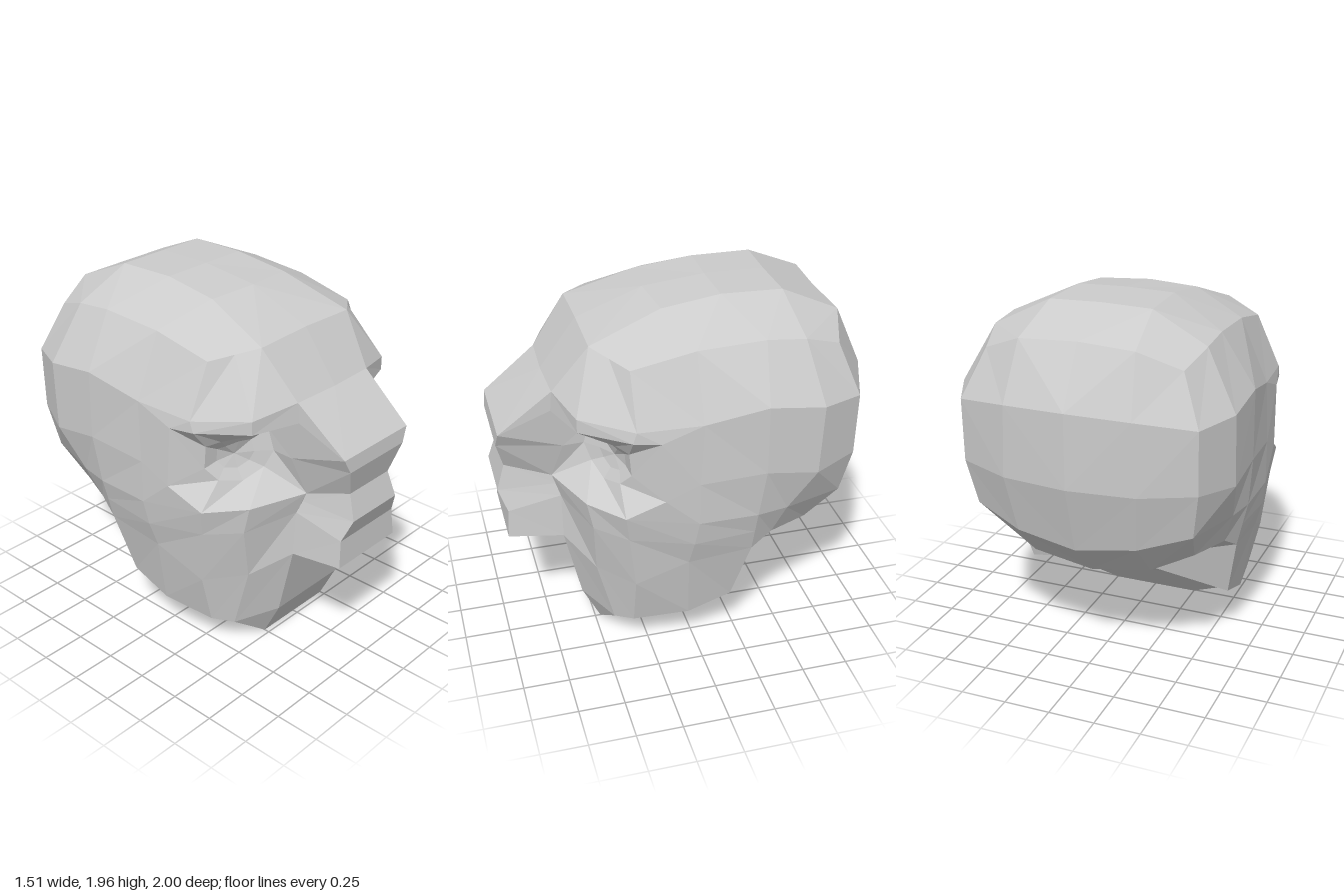
import * as THREE from 'three';

// Builds flat-shaded strips between rows of points, mirrored across x = 0.
// Rows run downwards; points run from the front centre round the +x side.
function mirroredMesh(name, ...patches) {
  const pos = [];
  const tri = (a, b, c) => {
    const n = new THREE.Vector3().subVectors(b, a).cross(new THREE.Vector3().subVectors(c, a));
    if (n.length() < 1e-6) return;
    for (const p of [a, b, c]) pos.push(p.x, p.y, p.z);
    for (const p of [a, c, b]) pos.push(-p.x, p.y, p.z);
  };
  for (const rows of patches) {
    const g = rows.map(row => row.map(p => new THREE.Vector3(...p)));
    for (let i = 0; i + 1 < g.length; i++) {
      for (let j = 0; j + 1 < g[i].length; j++) {
        tri(g[i][j], g[i + 1][j], g[i + 1][j + 1]);
        tri(g[i][j], g[i + 1][j + 1], g[i][j + 1]);
      }
    }
  }
  const geo = new THREE.BufferGeometry();
  geo.setAttribute('position', new THREE.Float32BufferAttribute(pos, 3));
  geo.computeVertexNormals();
  const mesh = new THREE.Mesh(geo, new THREE.MeshStandardMaterial({ color: 0xcccccc, flatShading: true }));
  mesh.name = name;
  return mesh;
}

export function createModel() {
  // Half rings of the skull, front centre to back centre
  const crown = [[0, 1.79, 0.5], [0.34, 1.78, 0.5], [0.45, 1.755, 0.42], [0.56, 1.73, 0.34], [0.57, 1.8, 0],
    [0.58, 1.82, -0.36], [0.58, 1.8, -0.57], [0.53, 1.73, -0.77], [0.31, 1.82, -0.84], [0, 1.83, -0.82]];
  const temple = [[0, 1.52, 0.7], [0.28, 1.52, 0.69], [0.53, 1.48, 0.61], [0.69, 1.45, 0.34], [0.72, 1.46, 0],
    [0.755, 1.53, -0.33], [0.75, 1.49, -0.63], [0.64, 1.47, -0.86], [0.34, 1.51, -0.97], [0, 1.52, -1]];
  const ear = [[0.73, 1.12, 0.02], [0.757, 1.15, -0.33], [0.755, 1.11, -0.61],
    [0.64, 1.13, -0.85], [0.36, 1.12, -0.96], [0, 1.12, -1]];
  const nape = [[0.73, 0.88, 0.02], [0.73, 0.88, -0.3], [0.7, 0.88, -0.47],
    [0.6, 0.88, -0.8], [0.33, 0.8, -0.88], [0, 0.75, -0.9]];
  const skullEdge = [[0.67, 0.63, -0.29], [0.64, 0.7, -0.41], [0.55, 0.7, -0.63], [0.33, 0.6, -0.69], [0, 0.55, -0.7]];
  const throat = [0, 0.4, -0.25];
  const skullBase = [0, 0.45, -0.46];
  const jawAngle = [0.6, 0.29, -0.2];

  // Top of the skull, back to front
  const cap = [
    [crown[9], crown[8], crown[7]],
    [[0, 1.955, -0.53], [0.28, 1.95, -0.54], crown[6]],
    [[0, 1.96, -0.2], [0.27, 1.955, -0.21], crown[5]],
    [[0, 1.925, 0.14], [0.28, 1.915, 0.11], crown[4]],
    [crown[0], crown[1], crown[3]],
  ];

  // Cheeks, mouth area, chin and jaw underside
  const face = [
    [[0, 0.97, 0.7], [0.2, 0.97, 0.7], [0.5, 0.95, 0.57], [0.68, 0.94, 0.4], nape[0], nape[1]],
    [[0, 0.85, 0.66], [0.23, 0.85, 0.66], [0.51, 0.8, 0.54], [0.655, 0.79, 0.38], [0.71, 0.74, 0.04], [0.7, 0.755, -0.295]],
    [[0, 0.6, 0.66], [0.25, 0.6, 0.66], [0.45, 0.5, 0.52], [0.62, 0.47, 0.34], [0.67, 0.6, 0.06], skullEdge[0]],
    [[0, 0.2, 0.57], [0.25, 0.2, 0.57], [0.46, 0.15, 0.43], [0.55, 0.18, 0.34], [0.6, 0.21, 0.04], jawAngle],
    [[0, 0, 0.47], [0.25, 0, 0.47], [0.25, 0, 0.47], [0.25, 0, 0.24], [0.6, 0.21, 0.04], jawAngle],
    [[0, 0, 0.47], [0, 0, 0.47], [0, 0, 0.47], [0, 0, 0.24], [0, 0.2, 0.04], throat],
  ];

  // Rim of the eye socket, clockwise from the inner brow
  const brow = [[0.28, 1.41, 0.7], [0.53, 1.405, 0.61], [0.69, 1.39, 0.36], [0.715, 1.38, 0.22]];
  const cheekbone = [0.72, 1.04, 0.2];
  const noseRoot = [0.26, 1.18, 0.64];
  const rim = [...brow, cheekbone, face[0][3], face[0][2], face[0][1], noseRoot, brow[0]];
  const lid = [[0.28, 1.31, 0.5], [0.42, 1.33, 0.47], [0.55, 1.31, 0.42], [0.6, 1.28, 0.36], [0.6, 1.15, 0.35],
    [0.55, 1.08, 0.4], [0.43, 1.05, 0.46], [0.31, 1.1, 0.5], [0.27, 1.19, 0.53], [0.28, 1.31, 0.5]];
  const eyeCentre = [0.43, 1.19, 0.42];
  const iris = lid.map(p => p.map((v, k) => eyeCentre[k] + (v - eyeCentre[k]) * 0.55 - (k === 2 ? 0.02 : 0)));

  // Nose: [half width, y, z] of the front edge, and the wall's back edge
  const noseFront = [[0.26, 1.29, 0.98], [0.22, 1.21, 0.99], [0.16, 1.05, 0.95],
    [0.18, 0.91, 0.995], [0.22, 0.79, 0.95], [0.235, 0.635, 0.96]];
  const noseBack = [brow[0], noseRoot, face[0][1], [0.21, 0.92, 0.68], face[1][1], face[2][1]];
  const nose = [
    [temple[0], temple[1], temple[1]],
    ...noseFront.map((p, i) => [[0, p[1], p[2]], p, noseBack[i]]),
    [face[2][0], face[2][1], face[2][1]],
  ];

  const head = new THREE.Group();
  head.name = 'head';
  head.add(
    mirroredMesh('skull', cap, [crown, temple], [temple.slice(4), ear, nape], [nape.slice(1), skullEdge],
      [skullEdge, [throat, throat, skullBase, skullBase, skullBase]]),
    mirroredMesh('browAndTemples', [temple.slice(1, 5), brow],
      [[brow[3], temple[4]], [cheekbone, ear[0]], [face[0][3], nape[0]]]),
    mirroredMesh('faceAndJaw', face, [[skullEdge[0], throat], [jawAngle, throat]]),
    mirroredMesh('eyeSockets', [rim, lid]),
    mirroredMesh('eyes', [lid, iris, iris.map(() => [0.43, 1.19, 0.4])]),
    mirroredMesh('nose', nose),
  );
  return head;
}
